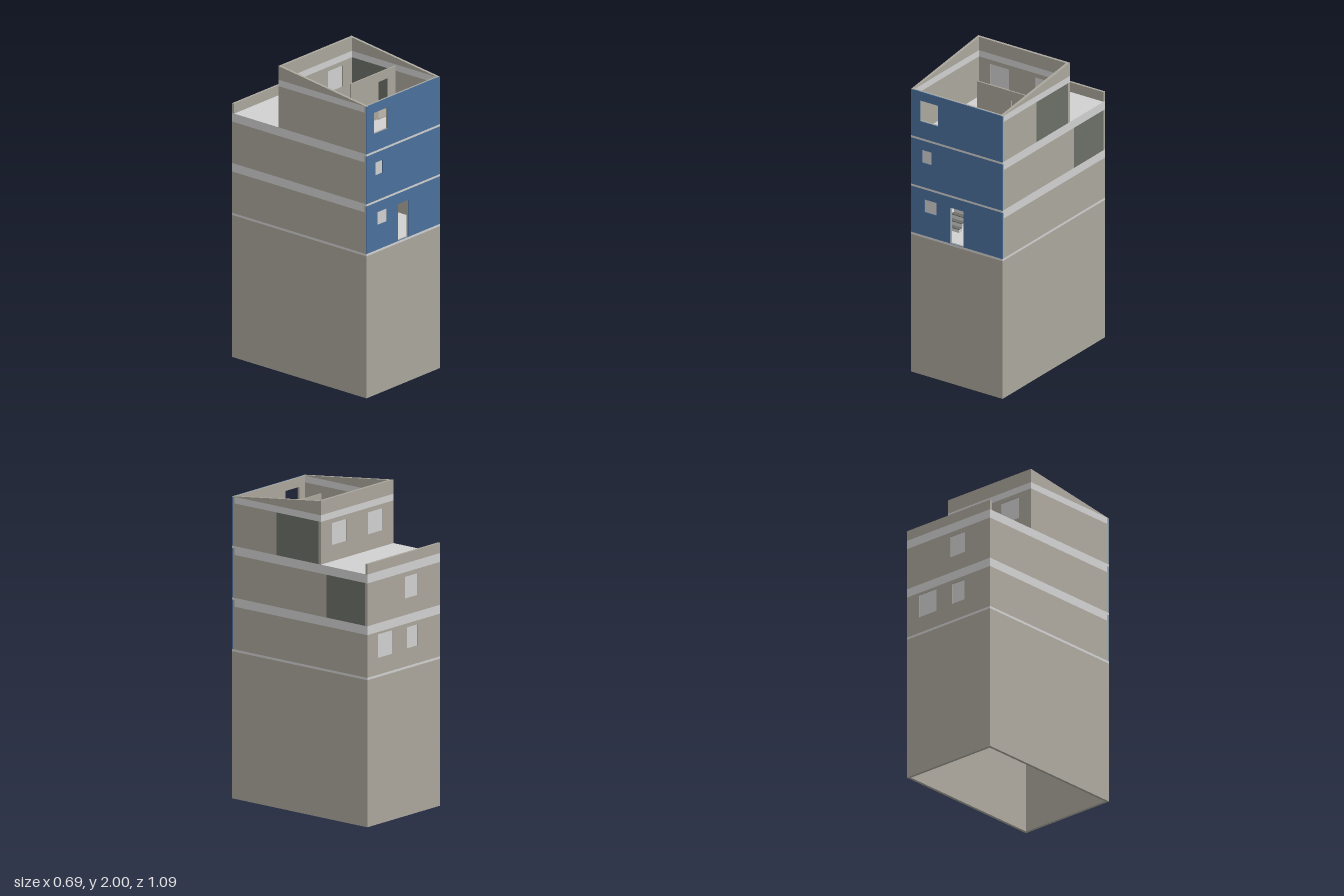
import * as THREE from 'three';

const mat = (name, color) => {
  const m = new THREE.MeshStandardMaterial({ color });
  m.name = name;
  return m;
};

export function createModel() {
  const beige = mat('beige plaster', 0xaaa69c);
  const blue = mat('blue facade', 0x4a709c);
  const light = mat('light concrete', 0xd0d0d0);
  const dark = mat('dark grey panel', 0x6c6e67);

  const house = new THREE.Group();
  house.name = 'house';
  const W = 0.343, D = 0.543, T = 0.018;

  const add = (name, geometry, material, parent = house) => {
    const mesh = new THREE.Mesh(geometry, material);
    mesh.name = name;
    parent.add(mesh);
    return mesh;
  };

  // Box given by its two opposite corners
  const block = (name, material, x0, x1, y0, y1, z0, z1, parent) => {
    const g = new THREE.BoxGeometry(x1 - x0, y1 - y0, z1 - z0);
    g.translate((x0 + x1) / 2, (y0 + y1) / 2, (z0 + z1) / 2);
    return add(name, g, material, parent);
  };

  // Rectangle with rectangular holes, each [u0, u1, v0, v1]
  const panelShape = ([u0, u1, v0, v1], holes) => {
    const outline = (a, b, c, d) => [[a, c], [b, c], [b, d], [a, d]].map(p => new THREE.Vector2(...p));
    const shape = new THREE.Shape(outline(u0, u1, v0, v1));
    holes.forEach(h => shape.holes.push(new THREE.Path(outline(...h).reverse())));
    return shape;
  };

  // Upright wall facing z, running from z to z + depth
  const wall = (name, material, rect, holes, z, depth, parent) => {
    const g = new THREE.ExtrudeGeometry(panelShape(rect, holes), { depth, bevelEnabled: false });
    g.translate(0, 0, z);
    return add(name, g, material, parent);
  };

  // Floor slab with holes given as [x0, x1, z0, z1]
  const slab = (name, y0, y1, holes) => {
    const flipped = holes.map(([a, b, c, d]) => [a, b, -d, -c]);
    const g = new THREE.ExtrudeGeometry(panelShape([-W, W, -D, D], flipped), { depth: y1 - y0, bevelEnabled: false });
    g.rotateX(-Math.PI / 2);
    g.translate(0, y0, 0);
    return add(name, g, light);
  };

  // Tall hollow base, open underneath
  const base = new THREE.Group();
  base.name = 'base';
  house.add(base);
  for (const s of [-1, 1]) {
    const x = s * (W - T / 2), z = s * (D - T / 2);
    block('baseSideWall', beige, x - T / 2, x + T / 2, 0, 0.93, -D, D, base);
    block('baseEndWall', beige, -W + T, W - T, 0, 0.93, z - T / 2, z + T / 2, base);
  }

  // Floor slabs, the upper two pierced by the stairwell
  const stairwell = [-0.198, -0.09, 0.015, 0.39];
  slab('groundSlab', 0.93, 0.945, []);
  slab('middleSlab', 1.257, 1.271, [stairwell]);
  slab('upperSlab', 1.584, 1.598, [stairwell]);

  // Storeys: openings are [x0, x1, y0, y1]
  const storeys = [
    {
      name: 'groundStorey', y0: 0.945, y1: 1.257, back: -D,
      frontWindows: [[-0.24, -0.15, 1.105, 1.19]], frontOpen: [[-0.05, 0.05, 0.946, 1.187]],
      backWindows: [[0.10, 0.244, 1.05, 1.2], [-0.13, -0.03, 1.056, 1.19]],
    },
    {
      name: 'middleStorey', y0: 1.271, y1: 1.584, back: -D, darkFrom: -0.215,
      frontWindows: [[-0.26, -0.19, 1.435, 1.52]], frontOpen: [],
      backWindows: [[-0.137, -0.015, 1.375, 1.513]],
    },
    {
      name: 'topStorey', y0: 1.598, y1: 1.91, back: -0.17, darkFrom: 0.185,
      frontWindows: [], frontOpen: [[-0.275, -0.14, 1.71, 1.85]],
      backWindows: [[0.10, 0.24, 1.70, 1.84], [-0.243, -0.10, 1.70, 1.84]],
    },
  ];

  for (const s of storeys) {
    const g = new THREE.Group();
    g.name = s.name;
    house.add(g);
    const { y0, y1, back } = s;
    const beam = y1 - 0.042;

    // Front wall with its blue facing
    const frontHoles = [...s.frontWindows, ...s.frontOpen];
    const rect = [-W, W, y0, y1];
    wall('frontWall', beige, rect, frontHoles, D - T, T - 0.006, g);
    wall('frontFacing', blue, rect, frontHoles, D - 0.006, 0.006, g);

    // Back wall under its ring beam
    wall('backWall', beige, [-W, W, y0, beam], s.backWindows, back, T, g);
    block('backBeam', light, -W, W, beam, y1, back, back + T, g);

    // Window panes
    for (const [a, b, c, d] of s.frontWindows) block('frontPane', light, a, b, c, d, D - 0.012, D - 0.005, g);
    for (const [a, b, c, d] of s.backWindows) block('backPane', light, a, b, c, d, back + 0.005, back + 0.012, g);

    // Side walls and beams; the left one may end in a dark panel
    for (const side of [-1, 1]) {
      const x0 = side > 0 ? W - T : -W, x1 = x0 + T;
      const split = side > 0 && s.darkFrom !== undefined ? s.darkFrom : back + T;
      block('sideWall', beige, x0, x1, y0, beam, split, D - T, g);
      if (split > back + T) {
        block('darkSidePanel', dark, x0, x1, y0, beam, back + T, split, g);
        block('darkPanelEnd', dark, W - 0.001, W, y0, beam, back, back + T, g);
      }
      block('sideBeam', light, x0, x1, beam, y1, back + T, D - T, g);
    }
  }

  // Sloping side parapets and level back parapet around the open roof
  const roof = new THREE.Group();
  roof.name = 'roofParapet';
  house.add(roof);
  const slope = new THREE.Shape([[-D, 1.91], [0.17, 1.91], [0.17, 2]].map(p => new THREE.Vector2(...p)));
  for (const x of [-W, W - T]) {
    const g = new THREE.ExtrudeGeometry(slope, { depth: T, bevelEnabled: false });
    g.rotateY(Math.PI / 2);
    g.translate(x, 0, 0);
    add('slopingParapet', g, beige, roof);
  }
  block('backParapet', beige, -W + T, W - T, 1.91, 2, -0.17, -0.17 + T, roof);

  // Low parapet at the back of the terrace
  block('terraceParapet', beige, -W, W, 1.598, 1.663, -D, -D + 0.016);

  // Top storey partition with a doorway, and the floor panel beside it
  wall('partition', beige, [-0.09, W - T, 1.598, 1.9], [[0.165, 0.255, 1.599, 1.84]], 0.192, 0.009);
  block('floorPanel', beige, 0.16, 0.318, 1.598, 1.604, -0.005, 0.21);

  // Two flights of stairs rising towards the back
  const steps = 12;
  for (const [bottom, top] of [[0.945, 1.271], [1.271, 1.598]]) {
    const flight = new THREE.Group();
    flight.name = 'stairFlight';
    house.add(flight);
    const rise = (top - bottom) / steps, run = 0.375 / steps;
    for (let i = 0; i < steps; i++) {
      const y = bottom + (i + 1) * rise - 0.002, z = 0.39 - i * run;
      block('riser', light, -0.196, -0.092, y - rise, y - 0.005, z - run, z, flight);
      block('tread', dark, -0.196, -0.092, y - 0.005, y, z - run, z, flight);
    }
  }

  return house;
}
